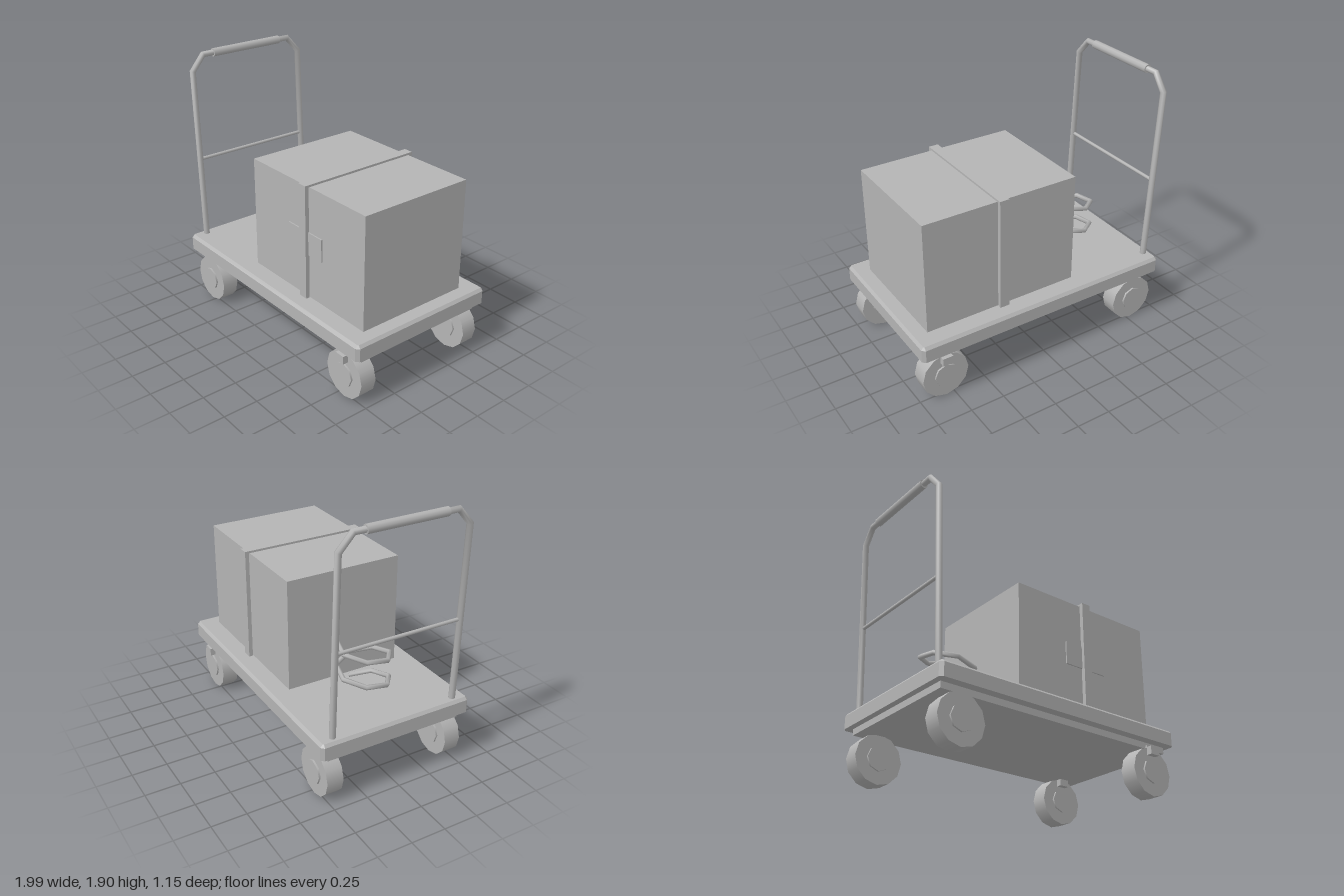
import * as THREE from 'three';
import { ConvexGeometry } from 'three/addons/geometries/ConvexGeometry.js';

const grey = new THREE.MeshStandardMaterial({ color: 0xb4b4b4 });
grey.name = 'plain grey';

// A path with sharp bends: one ring of the tube sits on every point
class BentPath extends THREE.Curve {
  constructor(points) {
    super();
    this.points = points;
  }
  index(u) {
    return Math.round(u * (this.points.length - 1));
  }
  getPointAt(u, target = new THREE.Vector3()) {
    return target.copy(this.points[this.index(u)]);
  }
  getPoint(u, target) {
    return this.getPointAt(u, target);
  }
  getTangentAt(u, target = new THREE.Vector3()) {
    const p = this.points, i = this.index(u);
    const dir = (a, b) => p[b].clone().sub(p[a]).normalize();
    target.set(0, 0, 0);
    if (i > 0) target.add(dir(i - 1, i));
    if (i < p.length - 1) target.add(dir(i, i + 1));
    return target.normalize();
  }
}

export function createModel() {
  const model = new THREE.Group();
  model.name = 'platformTrolley';

  const add = (name, geometry, x = 0, y = 0, z = 0, parent = model) => {
    const mesh = new THREE.Mesh(geometry, grey);
    mesh.name = name;
    mesh.position.set(x, y, z);
    parent.add(mesh);
    return mesh;
  };
  // Box given by its limits on each axis
  const box = (name, x0, x1, y0, y1, z0, z1, parent) =>
    add(name, new THREE.BoxGeometry(x1 - x0, y1 - y0, z1 - z0),
      (x0 + x1) / 2, (y0 + y1) / 2, (z0 + z1) / 2, parent);
  // Cylinder lying along z
  const axle = (name, r, length, sides, x, y, z, parent) =>
    add(name, new THREE.CylinderGeometry(r, r, length, sides).rotateX(Math.PI / 2), x, y, z, parent);
  // Bent tube with closed ends
  const bentTube = (name, points, r, sides) => {
    const path = new BentPath(points);
    const tube = add(name, new THREE.TubeGeometry(path, points.length - 1, r, sides, false));
    for (const [u, sign] of [[0, -1], [1, 1]]) {
      const cap = add(name + 'End', new THREE.CircleGeometry(r, sides));
      cap.position.copy(path.getPointAt(u));
      cap.quaternion.setFromUnitVectors(new THREE.Vector3(0, 0, 1), path.getTangentAt(u).multiplyScalar(sign));
    }
    return tube;
  };

  // Deck with chamfered top edge and corners
  const deckPoints = [];
  const ring = (y, hx, hz, c) => {
    for (const sx of [-1, 1]) for (const sz of [-1, 1]) {
      deckPoints.push(new THREE.Vector3(sx * hx, y, sz * (hz - c)));
      deckPoints.push(new THREE.Vector3(sx * (hx - c), y, sz * hz));
    }
  };
  ring(0.38, 0.982, 0.575, 0.022);
  ring(0.475, 0.982, 0.575, 0.022);
  ring(0.495, 0.965, 0.556, 0.006);
  add('deck', new ConvexGeometry(deckPoints), 0.014);
  box('underFrame', -0.925, 0.955, 0.335, 0.385, -0.51, 0.51);

  // Wheels, with brake pedals on the far pair
  for (const z of [-0.465, 0.465]) {
    for (const x of [-0.78, 0.81]) {
      const caster = new THREE.Group();
      caster.name = 'caster';
      model.add(caster);
      axle('wheel', 0.172, 0.12, 12, x, 0.173, z, caster);
      axle('hub', 0.086, 0.146, 8, x, 0.176, z, caster);
      if (x > 0) {
        box('brakePedal', x - 0.038, x + 0.038, 0.285, 0.343, z - 0.1, z + 0.1, caster);
        box('brakeLip', x - 0.032, x + 0.032, 0.33, 0.358, z - 0.06, z + 0.06, caster);
      }
    }
  }

  // Push handle
  const side = [[-0.911, 0.48, 0.467], [-0.963, 1.765, 0.467], [-0.968, 1.874, 0.372]];
  const handlePoints = [
    ...side.map(([x, y, z]) => new THREE.Vector3(x, y, z)),
    ...side.map(([x, y, z]) => new THREE.Vector3(x, y, -z)).reverse(),
  ];
  bentTube('handleFrame', handlePoints, 0.023, 8);
  axle('handleGrip', 0.031, 0.58, 10, -0.968, 1.874, 0);
  axle('handleCrossbar', 0.013, 0.92, 8, -0.936, 1.1, 0);

  // Carton with label and strap
  box('carton', -0.275, 0.885, 0.494, 1.305, -0.432, 0.432);
  box('cartonLabel', 0.13, 0.478, 0.82, 0.985, 0.436, 0.445);
  box('strapTop', 0.272, 0.342, 1.305, 1.32, -0.467, 0.467);
  for (const s of [-1, 1]) {
    box('strapSide', 0.272, 0.342, 0.494, 1.306, Math.min(s * 0.438, s * 0.467), Math.max(s * 0.438, s * 0.467));
  }

  // Coil lying on the deck, seven segments to a turn
  const coil = [];
  for (let i = 0; i <= 13; i++) {
    const a = (i / 7) * Math.PI * 2;
    coil.push(new THREE.Vector3(-0.533 + 0.186 * Math.cos(a), 0.52 + i * 0.0268, 0.186 * Math.sin(a)));
  }
  bentTube('coil', coil, 0.018, 6);

  return model;
}
